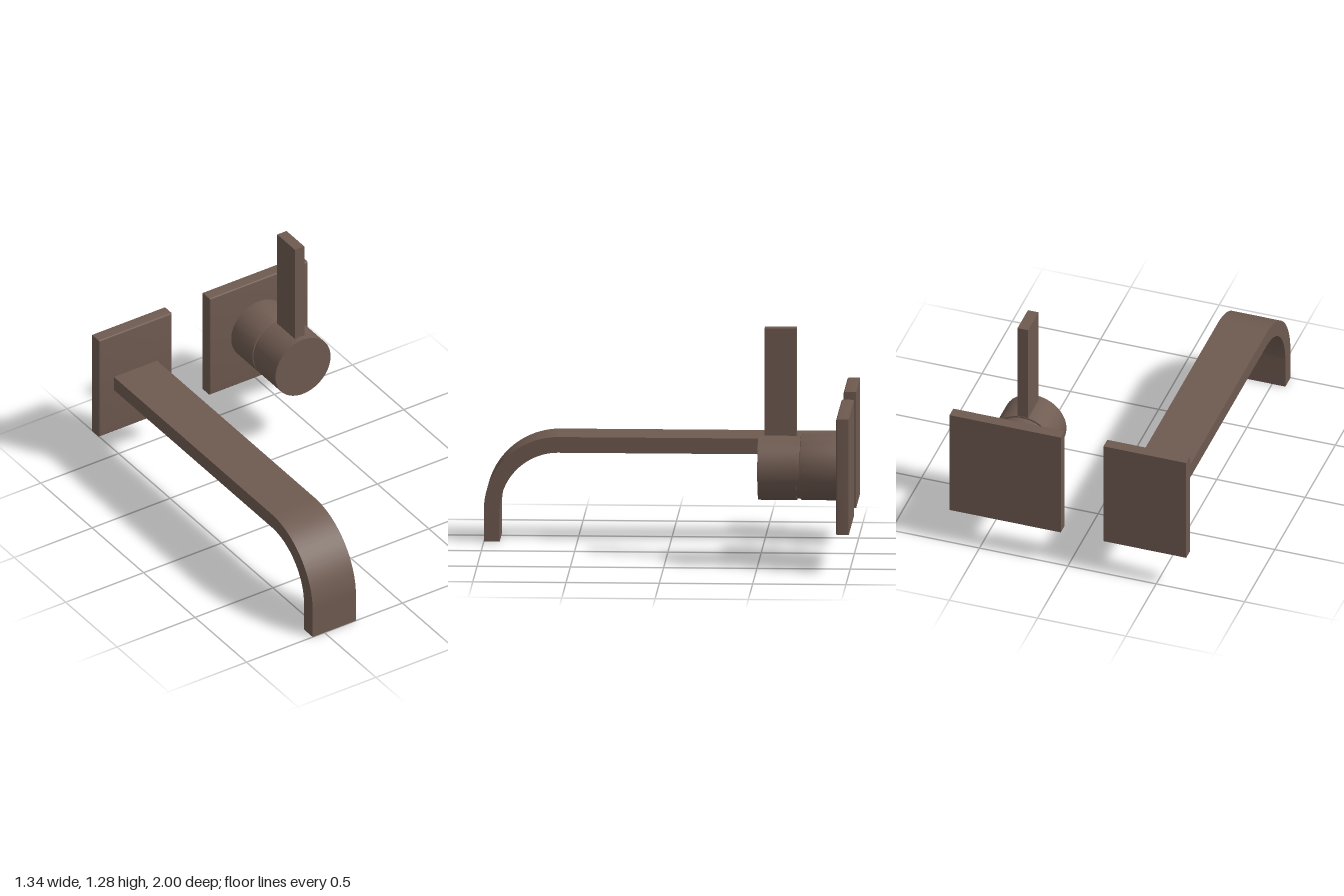
import * as THREE from 'three';
import { toCreasedNormals } from 'three/addons/utils/BufferGeometryUtils.js';

const material = new THREE.MeshStandardMaterial({ color: 0x6e5a50 });

function part(name, geometry) {
  const mesh = new THREE.Mesh(geometry, material);
  mesh.name = name;
  return mesh;
}

// Rectangular wall plate: square back, softly rounded front edges.
function plateGeometry(x0, x1, y0, y1, z0, z1, r) {
  const rings = [[0, z0]];
  for (let i = 0; i <= 4; i++) {
    const a = (i / 4) * Math.PI / 2;
    rings.push([r * (1 - Math.cos(a)), z1 - r + r * Math.sin(a)]);
  }
  const positions = [];
  for (const [d, z] of rings) {
    positions.push(x0 + d, y0 + d, z, x1 - d, y0 + d, z, x1 - d, y1 - d, z, x0 + d, y1 - d, z);
  }
  const index = [0, 2, 1, 0, 3, 2];
  for (let k = 0; k < rings.length - 1; k++) {
    for (let i = 0; i < 4; i++) {
      const a = k * 4 + i, b = k * 4 + (i + 1) % 4;
      index.push(a, b, b + 4, a, b + 4, a + 4);
    }
  }
  const f = (rings.length - 1) * 4;
  index.push(f, f + 1, f + 2, f, f + 2, f + 3);
  const geometry = new THREE.BufferGeometry();
  geometry.setAttribute('position', new THREE.Float32BufferAttribute(positions, 3));
  geometry.setIndex(index);
  return toCreasedNormals(geometry, 0.5);
}

// Flat bar that runs forward and curves down, drawn as (z, y) and extruded across x.
function spoutGeometry() {
  const top = 0.57, thick = 0.085, R = 0.4, bendZ = 0.6, bendY = top - R;
  const shape = new THREE.Shape();
  shape.moveTo(-0.94, top - thick);
  shape.lineTo(bendZ, top - thick);
  shape.absarc(bendZ, bendY, R - thick, Math.PI / 2, 0, true);
  shape.lineTo(1 - thick, 0);
  shape.lineTo(1, 0);
  shape.lineTo(1, bendY);
  shape.absarc(bendZ, bendY, R, 0, Math.PI / 2, false);
  shape.lineTo(-0.94, top);
  shape.closePath();
  const geometry = new THREE.ExtrudeGeometry(shape, { depth: 0.277, bevelEnabled: false, curveSegments: 32 });
  geometry.rotateY(-Math.PI / 2);
  geometry.translate(-0.298, 0, 0);
  return toCreasedNormals(geometry, 0.5);
}

// Round valve body and handle, separated by a shallow groove.
function knobGeometry() {
  const profile = [
    [0, -0.94], [0.177, -0.94], [0.177, -0.738], [0.174, -0.731], [0.168, -0.729],
    [0.168, -0.711], [0.177, -0.711], [0.177, -0.503], [0, -0.503],
  ].map(([r, z]) => new THREE.Vector2(r, z));
  const geometry = new THREE.LatheGeometry(profile, 64);
  geometry.rotateX(Math.PI / 2);
  geometry.translate(0.355, 0.528, 0);
  return toCreasedNormals(geometry, 0.5);
}

export function createModel() {
  const model = new THREE.Group();
  model.name = 'wallMountedTap';

  // Spout side
  const spout = new THREE.Group();
  spout.name = 'spoutAssembly';
  spout.add(part('spoutPlate', plateGeometry(-0.67, -0.202, 0.213, 0.842, -1, -0.932, 0.008)));
  spout.add(part('spout', spoutGeometry()));

  // Control side
  const control = new THREE.Group();
  control.name = 'controlAssembly';
  control.add(part('controlPlate', plateGeometry(0.04, 0.67, 0.213, 0.842, -1, -0.932, 0.008)));
  control.add(part('controlKnob', knobGeometry()));
  const lever = part('lever', new THREE.BoxGeometry(0.06, 0.605, 0.172));
  lever.position.set(0.355, 0.9825, -0.622);
  control.add(lever);

  model.add(spout, control);
  return model;
}
